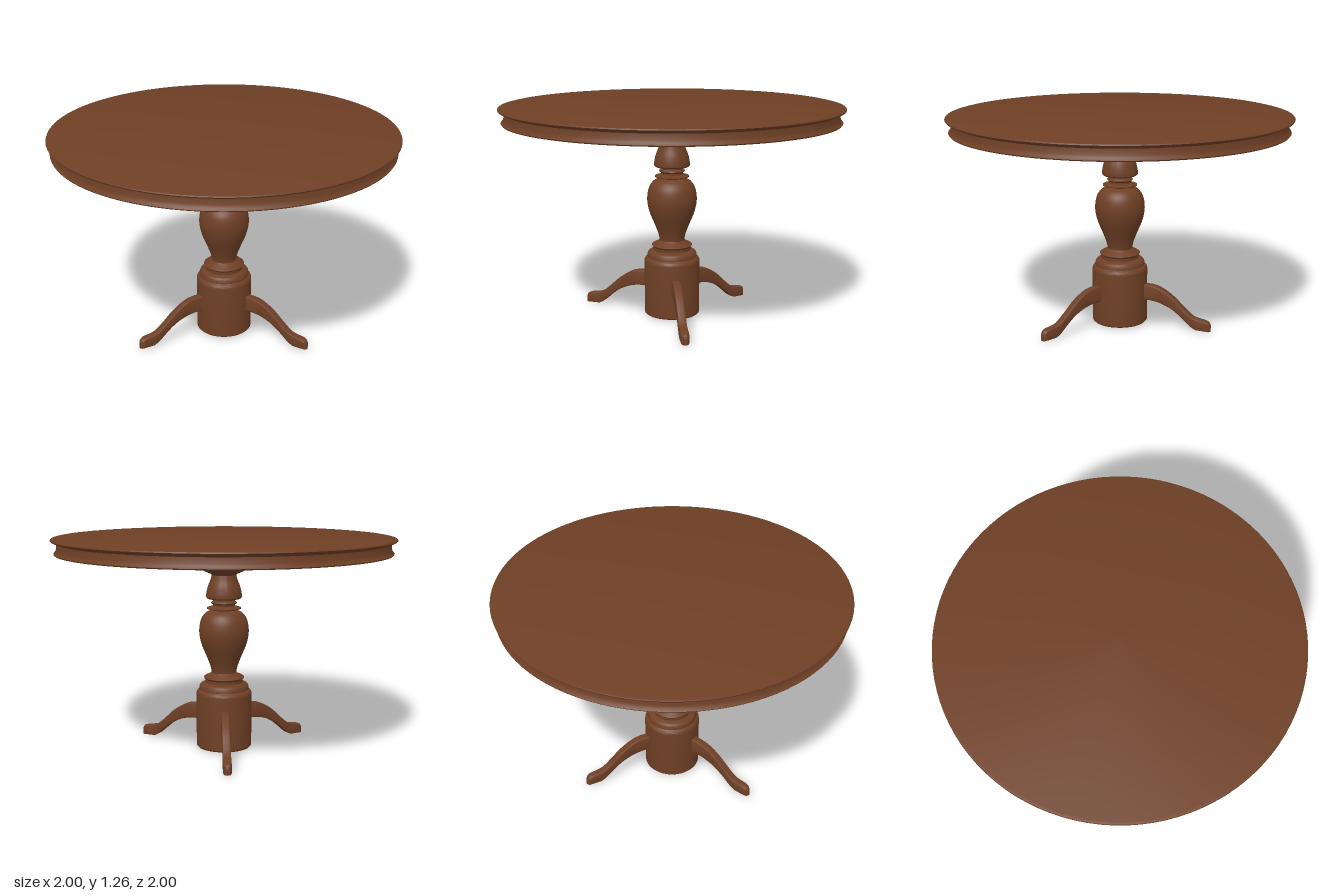
import * as THREE from 'three';
import { toCreasedNormals } from 'three/addons/utils/BufferGeometryUtils.js';

const v2 = ([x, y]) => new THREE.Vector2(x, y);
const curve = (pts, n) => new THREE.SplineCurve(pts.map(v2)).getPoints(n);

// Turned part from a profile running bottom to top, with sharp edges kept
function turned(name, points, segments, material) {
  const geometry = toCreasedNormals(new THREE.LatheGeometry(points, segments), 0.6);
  const mesh = new THREE.Mesh(geometry, material);
  mesh.name = name;
  return mesh;
}

// Curved leg reaching along +x, rounded in plan at the toe
function legGeometry() {
  const reach = 0.575, width = 0.048, bevel = 0.008;
  const shape = new THREE.Shape();
  shape.moveTo(0.12, 0.155);
  shape.lineTo(0.2, 0.155);
  shape.splineThru([[0.25, 0.148], [0.31, 0.128], [0.36, 0.1], [0.41, 0.06], [0.45, 0.025], [0.485, 0.005]].map(v2));
  shape.lineTo(reach, 0.003);
  shape.lineTo(reach, 0.04);
  shape.splineThru([[0.567, 0.056], [0.545, 0.066], [0.5, 0.072], [0.46, 0.085], [0.41, 0.125],
    [0.35, 0.18], [0.3, 0.215], [0.25, 0.24], [0.2, 0.25]].map(v2));
  shape.lineTo(0.12, 0.25);
  shape.closePath();
  const geometry = new THREE.ExtrudeGeometry(shape, {
    depth: width - 2 * bevel, steps: 6, curveSegments: 24,
    bevelSize: bevel, bevelThickness: bevel, bevelOffset: -bevel, bevelSegments: 3,
  });
  geometry.translate(0, 0, bevel - width / 2);
  const p = geometry.attributes.position;
  for (let i = 0; i < p.count; i++) {
    const toe = Math.max(0, (p.getX(i) - 0.5) / (reach - 0.5));
    const side = p.getZ(i) / (width / 2);
    p.setX(i, p.getX(i) - 0.02 * toe * side * side);
  }
  return toCreasedNormals(geometry, 0.7);
}

export function createModel() {
  const model = new THREE.Group();
  model.name = 'pedestalTable';
  const wood = new THREE.MeshStandardMaterial({ color: 0x6e3f25 });
  wood.name = 'brown wood';

  // Round top with moulded rim and hollow underside
  model.add(turned('tableTop', [
    [0, 1.235], [0.942, 1.235], [0.945, 1.175], [0.978, 1.173], [0.982, 1.179],
    [0.972, 1.19], [0.966, 1.205], [0.963, 1.235], [0.97, 1.242], [0.985, 1.244],
    [0.996, 1.249], [1, 1.255], [0.997, 1.261], [0.985, 1.264], [0, 1.264],
  ].map(v2), 96, wood));

  // Turned column: drum, vase, bell and collar
  model.add(turned('column', [
    ...[[0, 0], [0.1, 0], [0.102, 0.005], [0.158, 0.006], [0.165, 0.014], [0.165, 0.33]].map(v2),
    ...curve([[0.164, 0.34], [0.158, 0.35], [0.15, 0.354]], 4),
    ...[[0.147, 0.358], [0.147, 0.375]].map(v2),
    ...curve([[0.145, 0.38], [0.138, 0.39], [0.125, 0.395]], 4),
    ...[[0.11, 0.4], [0.11, 0.418], [0.118, 0.424], [0.121, 0.43], [0.112, 0.437], [0.085, 0.449]].map(v2),
    ...curve([[0.073, 0.46], [0.082, 0.5], [0.105, 0.56], [0.13, 0.62], [0.145, 0.68], [0.146, 0.73],
      [0.135, 0.78], [0.11, 0.815], [0.075, 0.835]], 32),
    ...[[0.1, 0.842], [0.101, 0.848], [0.065, 0.858], [0.065, 0.868]].map(v2),
    ...curve([[0.068, 0.87], [0.077, 0.878], [0.068, 0.887]], 6),
    ...[[0.064, 0.89], [0.064, 0.9], [0.098, 0.903]].map(v2),
    ...curve([[0.105, 0.91], [0.104, 0.935], [0.095, 0.975], [0.081, 1.01], [0.072, 1.042]], 14),
    ...curve([[0.08, 1.05], [0.11, 1.062], [0.15, 1.085], [0.183, 1.107]], 8),
    ...[[0.185, 1.113]].map(v2),
    ...curve([[0.175, 1.12], [0.156, 1.135], [0.147, 1.155], [0.146, 1.19], [0.152, 1.22], [0.17, 1.236]], 12),
  ], 64, wood));

  // Three legs, one to the back and two to the front sides
  const leg = legGeometry();
  [['backLeg', 90], ['frontLeftLeg', -30], ['frontRightLeg', 210]].forEach(([name, degrees]) => {
    const mesh = new THREE.Mesh(leg, wood);
    mesh.name = name;
    mesh.rotation.y = THREE.MathUtils.degToRad(degrees);
    model.add(mesh);
  });
  return model;
}
